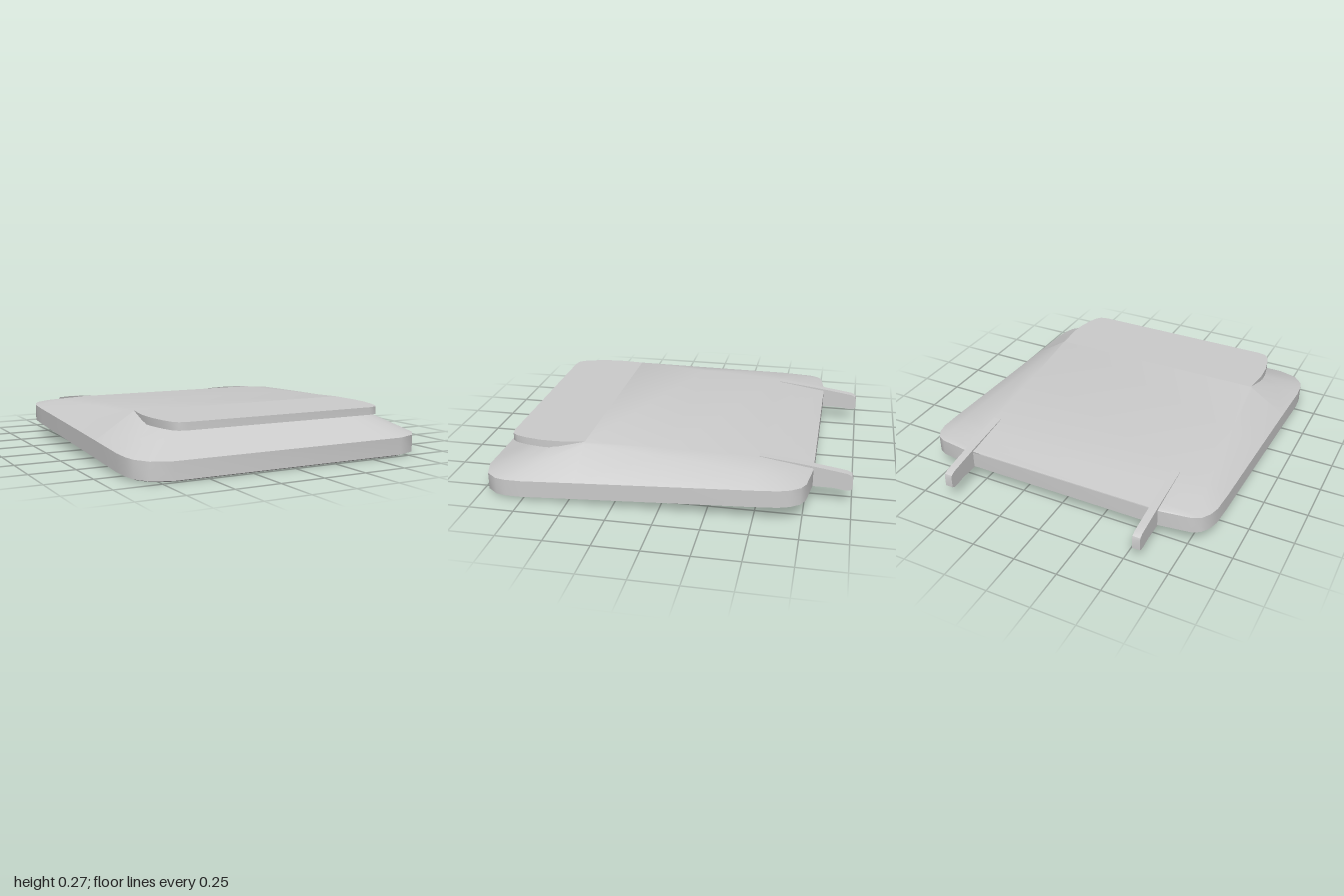
import * as THREE from 'three';
import { toCreasedNormals } from 'three/addons/utils/BufferGeometryUtils.js';

const material = new THREE.MeshStandardMaterial({ color: 0xcccccc, side: THREE.DoubleSide });

// Half outline of the rim, back to front: [x, z]
const OUTLINE = [
  [0.6, -0.79], [0.77, -0.765], [0.815, -0.74], [0.845, -0.69], [0.86, -0.63], [0.865, -0.5],
  [0.87, 0], [0.875, 0.45], [0.88, 0.75], [0.872, 0.84], [0.855, 0.9], [0.8, 0.965], [0.69, 1],
];
// Matching half edge of the flat top: [x, y, z]
const TOP_EDGE = [
  [0.55, 0.2, -0.79], [0.56, 0.203, -0.765], [0.57, 0.208, -0.73], [0.575, 0.216, -0.68],
  [0.58, 0.225, -0.62], [0.59, 0.243, -0.5], [0.62, 0.26, 0], [0.655, 0.274, 0.45],
  [0.64, 0.255, 0.6], [0.625, 0.246, 0.63], [0.6, 0.239, 0.66], [0.57, 0.235, 0.69],
  [0.5, 0.235, 0.69],
];
// Shoulder where the top turns down to the sides, widening to the back
const SHOULDER = [
  [0.58, 0.197, -0.79], [0.7, 0.199, -0.765], [0.75, 0.201, -0.735], [0.765, 0.208, -0.685],
  [0.765, 0.217, -0.62], [0.755, 0.231, -0.5], [0.705, 0.252, 0], [0.668, 0.267, 0.45],
];
const LIP_ROW = 7; // row where the front lip leaves the top
const RIM_HEIGHT = 0.105;
const baseY = (z) => 0.05 * (1 - z); // the lid tilts up towards the back

// Surface through rows of points
function loft(rows) {
  const n = rows[0].length;
  const index = [];
  for (let i = 0; i < rows.length - 1; i++) {
    for (let j = 0; j < n - 1; j++) {
      const a = i * n + j, b = a + 1, d = a + n, c = d + 1;
      index.push(a, d, c, a, c, b);
    }
  }
  const geo = new THREE.BufferGeometry();
  geo.setAttribute('position', new THREE.Float32BufferAttribute(rows.flat(2), 3));
  geo.setIndex(index);
  return toCreasedNormals(geo, 0.7);
}

const mirror = ([x, y, z]) => [-x, y, z];
const midpoint = (a, b) => a.map((v, k) => (v + b[k]) / 2);

// Point moved inwards by an inset and down by a drop
const shrink = ([x, y, z], inset, drop) => [
  x * (1 - inset / 0.88), y - drop, 0.105 + (z - 0.105) * (1 - inset / 0.895),
];

// Half outline shrunk by an inset and lifted above the tilted base
const halfRing = (inset, lift) => OUTLINE.map(([x, z]) => {
  const p = shrink([x, 0, z], inset, 0);
  return [p[0], baseY(p[2]) + lift, p[2]];
});

// Closed ring: down the right side, across the front, back up the left
function fullRing(inset, lift) {
  const half = halfRing(inset, lift);
  const ring = [...half.map(mirror), ...half.slice().reverse()];
  return [...ring, ring[0]];
}

// Rows of the domed panel, spanning the ring at the given inset and lift
function domeRows(inset, lift, drop) {
  const ring = halfRing(inset, lift);
  const rows = ring.map((outer, i) => {
    const inner = shrink(TOP_EDGE[i], inset, drop);
    const shoulder = SHOULDER[i] ? shrink(SHOULDER[i], inset, drop) : midpoint(inner, outer);
    return [mirror(outer), mirror(shoulder), mirror(inner), inner, shoulder, outer];
  });
  const [, y, z] = ring[ring.length - 1];
  rows.push(rows[rows.length - 1].map(([x]) => [x, y, z]));
  return rows;
}

export function createModel() {
  const group = new THREE.Group();
  const add = (name, geo) => {
    const mesh = new THREE.Mesh(geo, material);
    mesh.name = name;
    group.add(mesh);
  };

  // Domed top, and the slope that runs down to the front below the lip
  const outside = domeRows(0, RIM_HEIGHT, 0);
  add('lidTop', loft(outside.slice(0, LIP_ROW + 1)));
  add('frontSlope', loft(outside.slice(LIP_ROW)));

  // Rim wall, its bottom edge and the inner wall
  add('rim', loft([
    fullRing(0, RIM_HEIGHT), fullRing(0, 0.01), fullRing(0.02, 0),
    fullRing(0.075, 0), fullRing(0.09, 0.085),
  ]));

  // Hollow underside following the dome
  add('underside', loft(domeRows(0.09, 0.085, 0.025).map((row) => row.reverse())));

  // Overhanging front lip that continues the flat top
  const lipHalf = [
    [0.655, 0.45], [0.672, 0.6], [0.668, 0.7], [0.65, 0.79],
    [0.63, 0.85], [0.605, 0.88], [0.56, 0.89],
  ];
  const lipPoints = [...lipHalf.map(([x, z]) => [-x, z]), ...lipHalf.slice().reverse()];
  const lipShape = new THREE.Shape(lipPoints.map(([x, z]) => new THREE.Vector2(x, -z)));
  const lip = new THREE.ExtrudeGeometry(lipShape, { depth: 0.042, bevelEnabled: false });
  lip.rotateX(-Math.PI / 2).translate(0, 0.232, 0);
  const pos = lip.attributes.position;
  for (let i = 0; i < pos.count; i++) {
    pos.setY(i, pos.getY(i) - 0.014 * (pos.getZ(i) - 0.45));
  }
  add('frontLip', toCreasedNormals(lip, 0.7));

  // Two hinge arms reaching out at the back: [z, y]
  const armShape = new THREE.Shape([
    [-0.5, 0.246], [-0.75, 0.216], [-0.9, 0.194], [-0.97, 0.183], [-0.995, 0.17], [-1, 0.155],
    [-1, 0.095], [-0.985, 0.086], [-0.96, 0.085], [-0.9, 0.094], [-0.75, 0.094],
    [-0.72, 0.18], [-0.5, 0.225],
  ].map(([z, y]) => new THREE.Vector2(z, y)));
  for (const [side, name] of [[1, 'leftHingeArm'], [-1, 'rightHingeArm']]) {
    const arm = new THREE.ExtrudeGeometry(armShape, { depth: 0.044, bevelEnabled: false });
    arm.rotateY(-Math.PI / 2).translate(0.022 + side * 0.57, 0, 0);
    add(name, toCreasedNormals(arm, 0.5));
  }

  return group;
}
